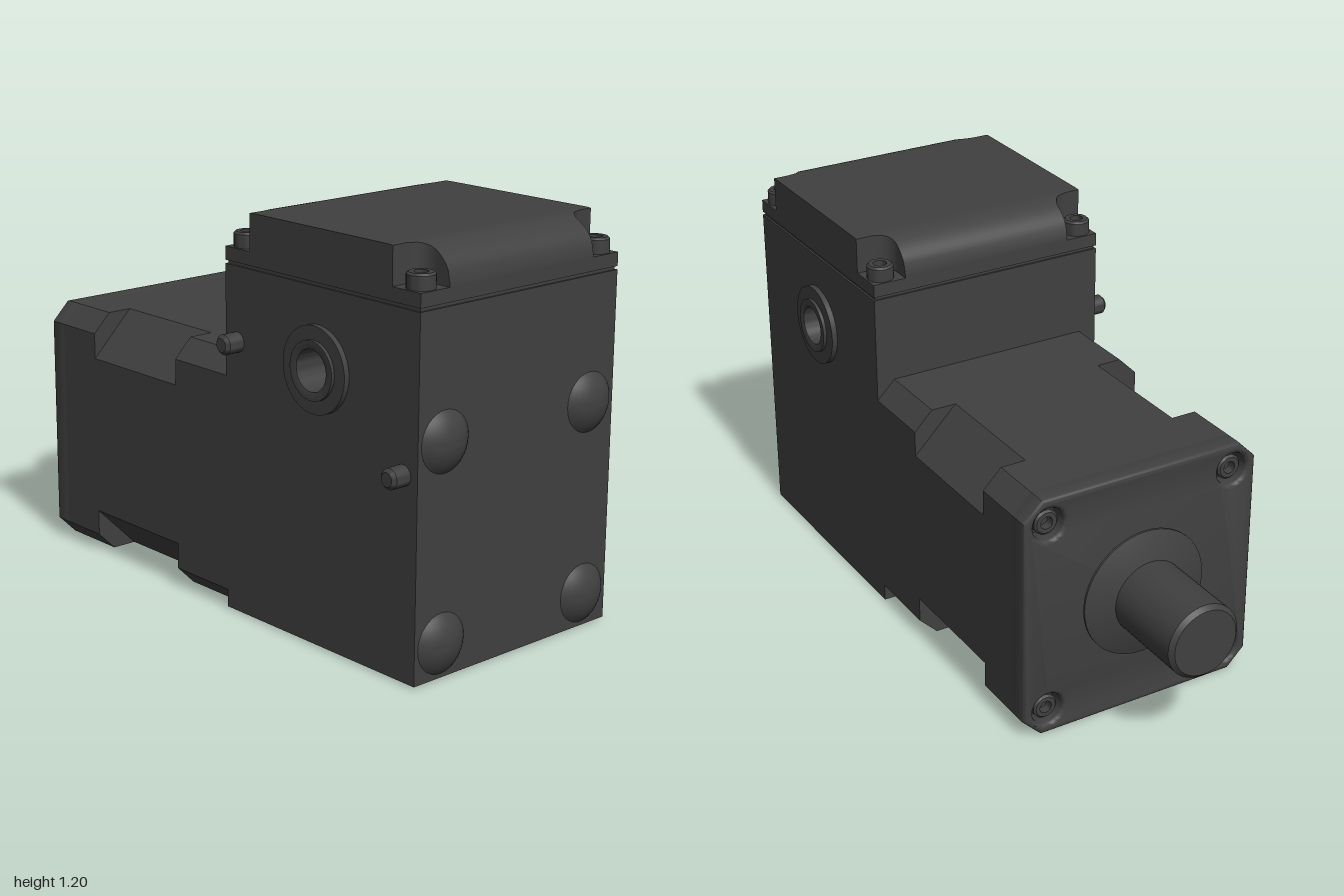
import * as THREE from 'three';
import { toCreasedNormals } from 'three/addons/utils/BufferGeometryUtils.js';

const ZC = -0.015;                                  // middle of the housing depth
const X0 = 0.185, X1 = 0.965, XC = (X0 + X1) / 2;   // gearbox ends
const HW = 0.385;                                   // housing half depth
const BORE = { x: 0.575, y: 0.81 };

export function createModel() {
  const root = new THREE.Group();
  const material = new THREE.MeshStandardMaterial({ color: 0x404040 });

  const add = (name, geometry, x = 0, y = 0, z = 0) => {
    const mesh = new THREE.Mesh(toCreasedNormals(geometry, 0.6), material);
    mesh.name = name;
    mesh.position.set(x, y, z);
    root.add(mesh);
    return mesh;
  };
  const lathe = (points, segments = 40) =>
    new THREE.LatheGeometry(points.map(([r, y]) => new THREE.Vector2(r, y)), segments);
  const polygon = (points) => new THREE.Shape(points.map(([x, y]) => new THREE.Vector2(x, y)));
  const hole = (shape, x, y, r) => {
    shape.holes.push(new THREE.Path().absarc(x, y, r, 0, Math.PI * 2, true));
    return shape;
  };
  const extrude = (shape, depth, bevel = 0) => new THREE.ExtrudeGeometry(shape, {
    depth: depth - 2 * bevel, curveSegments: 24, bevelEnabled: bevel > 0,
    bevelSize: bevel, bevelThickness: bevel, bevelOffset: -bevel, bevelSegments: 3,
  }).translate(0, 0, bevel);
  const rect = (x0, y0, x1, y1) => polygon([[x0, y0], [x1, y0], [x1, y1], [x0, y1]]);

  // Gearbox housing with the cross bore
  add('gearboxHousing', extrude(hole(rect(X0, 0.08, X1, 1.04), BORE.x, BORE.y, 0.1), 2 * HW), 0, 0, ZC - HW);
  add('coverGasket', new THREE.BoxGeometry(X1 - X0 - 0.012, 0.012, 2 * HW - 0.012), XC, 1.045, ZC);
  add('coverPlate', new THREE.BoxGeometry(X1 - X0, 0.04, 2 * HW), XC, 1.07, ZC);

  // Mounting base: round recess, shallow outer step and six bolt holes
  const basePlate = (name, radius, y0, y1) => {
    const half = (X1 - X0) / 2;
    const shape = hole(rect(-half, -HW, half, HW), 0, 0, radius);
    for (let i = 0; i < 6; i++) {
      const a = i * Math.PI / 3;
      hole(shape, 0.314 * Math.cos(a), 0.314 * Math.sin(a), 0.018);
    }
    add(name, extrude(shape, y1 - y0).rotateX(-Math.PI / 2), XC, y0, ZC);
  };
  basePlate('baseFace', 0.286, 0.005, 0.016);
  basePlate('baseFlange', 0.25, 0.016, 0.08);
  add('outputHub', lathe([[0.13, 0], [0.13, 0.06], [0.12, 0.07], [0.056, 0.07], [0.056, 0.005], [0, 0.005]])
    .rotateX(Math.PI), XC, 0.08, ZC);

  // Rounded cover crown with a scooped pocket at each corner
  const notch = 0.105, scoop = 0.055, flat = notch - scoop;
  const stations = [];
  const N = 14;
  for (let i = 0; i <= N; i++) {
    const d = notch * i / N;
    const cut = d < flat ? notch : flat + Math.sqrt(Math.max(0, scoop ** 2 - (d - flat) ** 2));
    stations.push([d, HW - cut]);
  }
  stations.push([notch, HW], [0.115, HW], [0.125, HW]);
  const crownHeight = (d) => 1.1 + 0.1 * Math.sqrt(Math.max(0, 1 - (1 - Math.min(1, d / 0.125)) ** 2));
  const sections = [
    ...stations.map(([d, w]) => [X0 + d, w, crownHeight(d)]),
    ...stations.slice().reverse().map(([d, w]) => [X1 - d, w, crownHeight(d)]),
  ];
  const positions = [], index = [];
  sections.forEach(([x, w, h], s) => {
    positions.push(x, 1.09, w, x, h, w, x, h, -w, x, 1.09, -w);
    if (s === 0) return;
    const a = (s - 1) * 4, b = s * 4;
    for (let k = 0; k < 4; k++) {
      const n = (k + 1) % 4;
      index.push(a + k, b + k, b + n, a + k, b + n, a + n);
    }
  });
  const e = (sections.length - 1) * 4;
  index.push(0, 1, 2, 0, 2, 3, e, e + 2, e + 1, e, e + 3, e + 2);
  const crown = new THREE.BufferGeometry();
  crown.setAttribute('position', new THREE.Float32BufferAttribute(positions, 3));
  crown.setIndex(index);
  add('coverCrown', crown, 0, 0, ZC);

  // Socket screws, drawn along +y
  const screw = (r, h) => lathe([[r, 0], [r, h - 0.006], [r - 0.006, h], [r * 0.5, h], [r * 0.5, h * 0.4], [0, h * 0.4]], 24);
  for (const x of [X0 + 0.045, X1 - 0.045])
    for (const s of [-1, 1]) add('coverScrew', screw(0.04, 0.045), x, 1.09, ZC + s * (HW - 0.045));

  // Hollow output sleeve, stepped at both ends
  add('boreSleeve', lathe([
    [0.06, -0.41], [0.065, -0.412], [0.085, -0.412], [0.085, -0.402], [0.125, -0.402], [0.125, 0.402],
    [0.085, 0.402], [0.085, 0.412], [0.065, 0.412], [0.06, 0.41], [0.06, -0.41],
  ], 48).rotateX(Math.PI / 2), BORE.x, BORE.y, ZC);

  // Locating pins on the front face
  for (const [x, y] of [[0.235, 0.82], [0.91, 0.59]])
    add('locatingPin', lathe([[0.03, 0], [0.03, 0.05], [0.02, 0.06], [0, 0.06]], 24).rotateX(Math.PI / 2), x, y, ZC + HW);

  // Shallow domed feet on the end face
  const domeR = 0.128, domeAngle = Math.asin(0.088 / domeR);
  for (const y of [0.105, 0.675])
    for (const z of [-0.285, 0.285]) {
      const dome = new THREE.SphereGeometry(domeR, 32, 8, 0, Math.PI * 2, 0, domeAngle);
      add('domedFoot', dome.translate(0, -domeR, 0).rotateZ(-Math.PI / 2), 1, y, ZC + z);
    }

  // Motor body: chamfered square sections, waisted in the middle
  const MY = 0.385;
  const octagon = (c) => {
    const a = HW, b = HW - c;
    return polygon([[b, -a], [a, -b], [a, b], [b, a], [-b, a], [-a, b], [-a, -b], [-b, -a]]);
  };
  const section = (name, shape, x0, x1, bevel) =>
    add(name, extrude(shape, x1 - x0, bevel).rotateY(Math.PI / 2), x0, MY, ZC);
  const corners = [[1, 1], [1, -1], [-1, 1], [-1, -1]].map(([u, v]) => [u * 0.305, v * 0.305]);
  const endShape = octagon(0.058);
  corners.forEach(([u, v]) => hole(endShape, u, v, 0.05));
  section('motorEndPlate', endShape, -0.675, -0.6, 0.012);
  section('motorFrontBody', octagon(0.058), -0.615, -0.45);
  section('motorWaist', octagon(0.137), -0.45, -0.05);
  section('motorRearBody', octagon(0.058), -0.05, X0);
  for (const [u, v] of corners)
    add('motorScrew', screw(0.038, 0.045).rotateZ(Math.PI / 2), -0.615, MY + v, ZC + u);

  // Motor shaft with flared collar and neck
  add('motorShaft', lathe([
    [0.055, 0], [0.055, 0.015], [0.2, 0.015], [0.2, 0.022], [0.165, 0.036], [0.115, 0.05],
    [0.115, 0.312], [0.102, 0.325], [0, 0.325],
  ], 48).rotateZ(Math.PI / 2), -0.675, 0.39, ZC - 0.002);

  return root;
}
